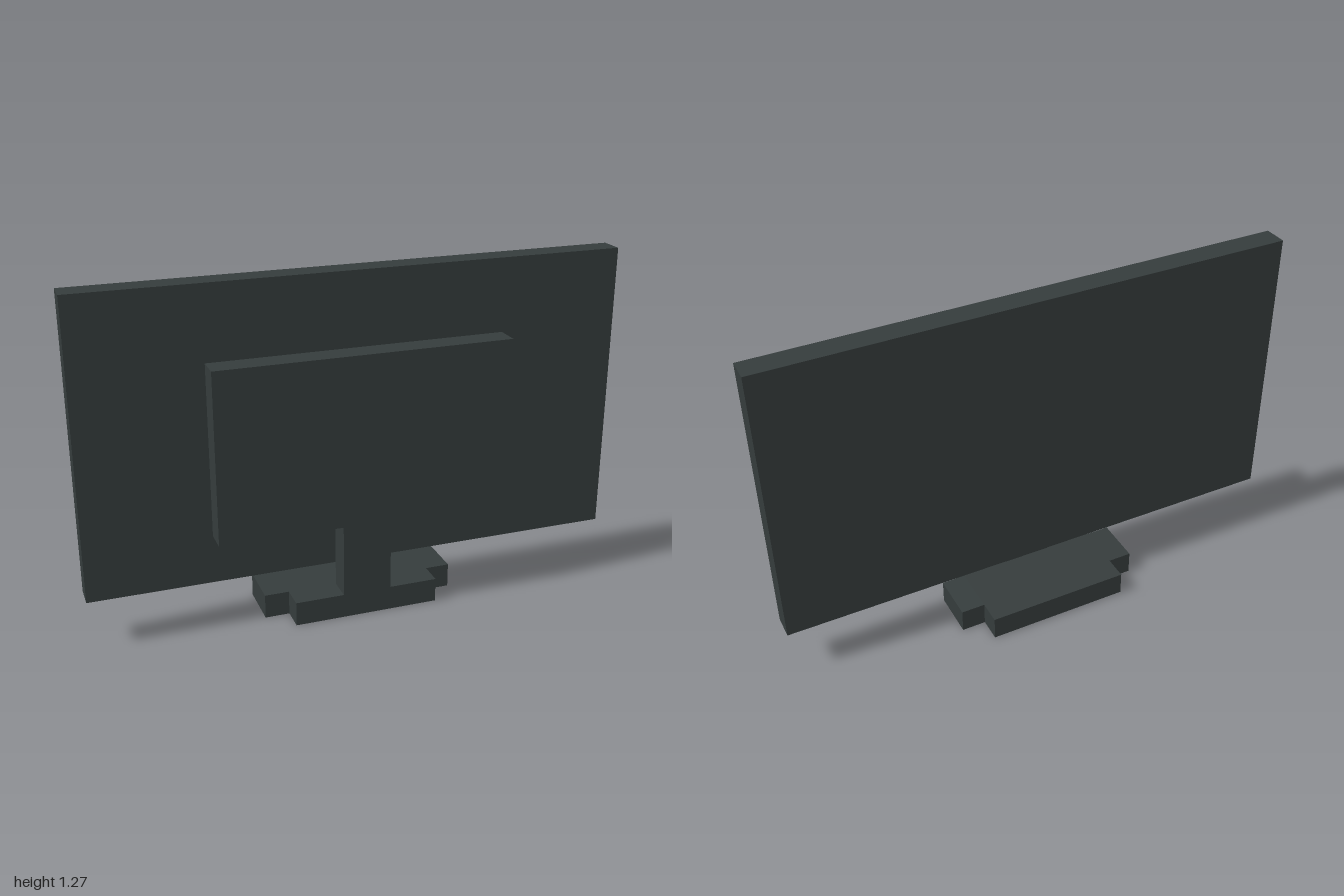
import * as THREE from 'three';

// Everything sits on a grid of 22 units across the screen
const U = 2 / 22;

export function createModel() {
  const group = new THREE.Group();
  const casing = new THREE.MeshStandardMaterial({ color: 0x353c3c });
  casing.name = 'dark casing';

  function add(name, geometry) {
    const mesh = new THREE.Mesh(geometry, casing);
    mesh.name = name;
    group.add(mesh);
    return mesh;
  }

  // Box centred on x, given its half width and its y and z ranges in grid units
  function box(name, half, y0, y1, z0, z1) {
    const mesh = add(name, new THREE.BoxGeometry(2 * half * U, (y1 - y0) * U, (z1 - z0) * U));
    mesh.position.set(0, (y0 + y1) / 2 * U, (z0 + z1) / 2 * U);
  }

  box('screen', 11, 2, 14, 0, 1);
  box('housing', 6, 4, 11, 1, 2);
  box('neck', 1, 1, 4, 1, 2);

  // Foot: a slab with its four corners notched
  const outline = [
    [-3, -2], [3, -2], [3, -1], [4, -1], [4, 1], [3, 1],
    [3, 2], [-3, 2], [-3, 1], [-4, 1], [-4, -1], [-3, -1],
  ].map(([x, z]) => new THREE.Vector2(x * U, z * U));
  const foot = new THREE.ExtrudeGeometry(new THREE.Shape(outline), { depth: U, bevelEnabled: false });
  foot.rotateX(-Math.PI / 2);
  add('foot', foot);

  return group;
}
